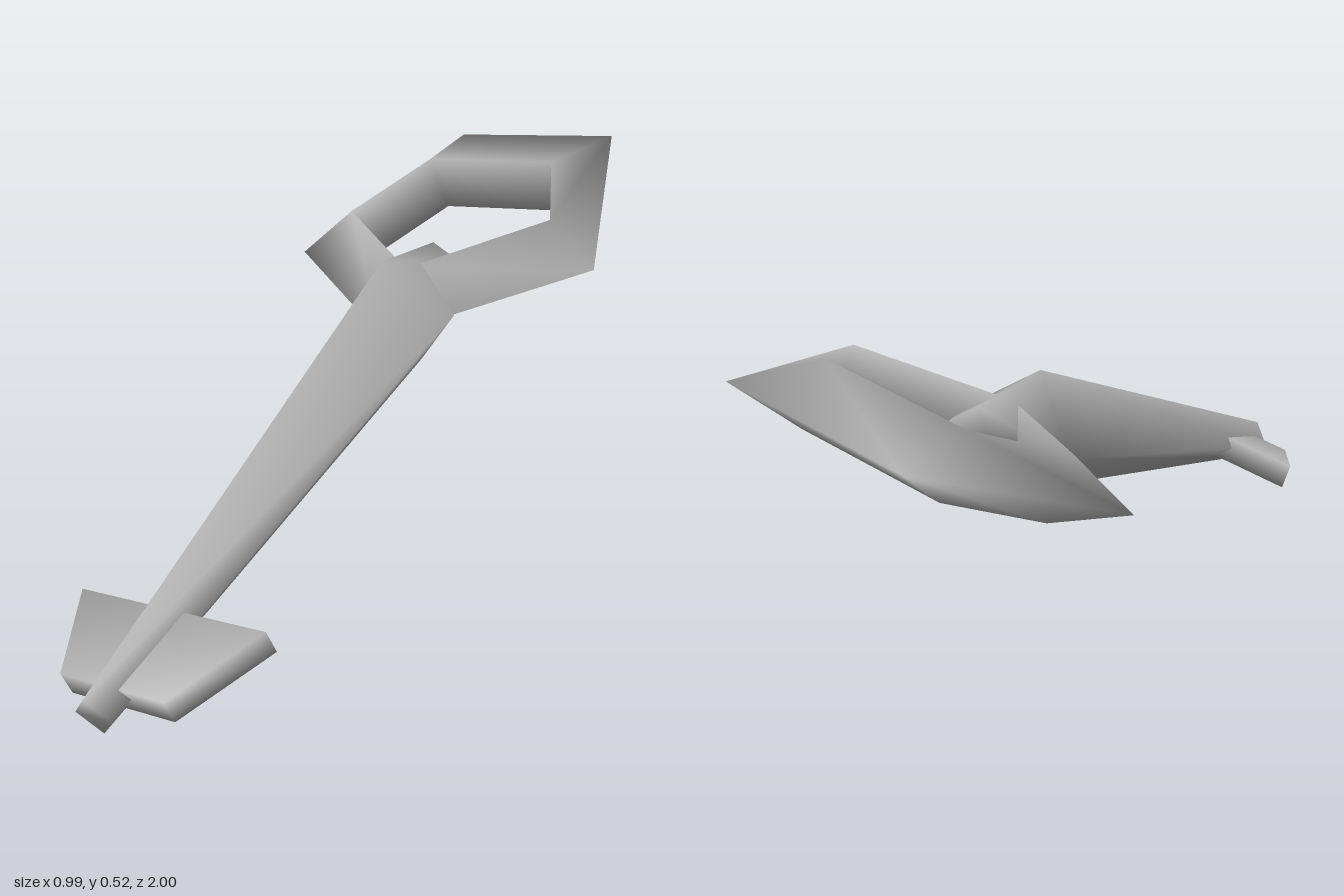
import * as THREE from 'three';

// Smooth skin through a row of equal-sized cross-sections
function loft(loops, ring) {
  const n = loops[0].length, m = loops.length;
  const index = [];
  for (let i = 0; i < (ring ? m : m - 1); i++) {
    const k = (i + 1) % m;
    for (let j = 0; j < n; j++) {
      const l = (j + 1) % n;
      const a = i * n + j, b = i * n + l, c = k * n + l, d = k * n + j;
      index.push(a, b, c, a, c, d);
    }
  }
  if (!ring) {
    // Close both ends
    const e = (m - 1) * n;
    for (let j = 1; j < n - 1; j++) index.push(0, j + 1, j, e, e + j, e + j + 1);
  }
  const geo = new THREE.BufferGeometry();
  geo.setAttribute('position', new THREE.Float32BufferAttribute(loops.flat(2), 3));
  geo.setIndex(index);
  geo.computeVertexNormals();
  return geo;
}

export function createModel() {
  const model = new THREE.Group();
  model.name = 'key';
  const metal = new THREE.MeshStandardMaterial({ color: 0xb4b4b4 });
  metal.name = 'grey metal';
  const add = (name, geo) => {
    const mesh = new THREE.Mesh(geo, metal);
    mesh.name = name;
    model.add(mesh);
  };

  // Shaft: four-sided, thick collar near the handle, thin at the tip
  const diamond = (r, z) => [[r, 0, z], [0, r, z], [-r, 0, z], [0, -r, z]];
  add('shaft', loft([diamond(0.058, -0.2), diamond(0.154, 0), diamond(0.053, 1.302)], false));

  // Handle: five-cornered ring with a triangular section
  // each corner: outer x, outer z, inner x, inner z
  const corners = [
    [0, 0.10, 0, -0.07],
    [0.44, -0.20, 0.302, -0.285],
    [0.232, -0.743, 0.187, -0.52],
    [-0.232, -0.743, -0.187, -0.52],
    [-0.44, -0.20, -0.302, -0.285],
  ];
  add('handleRing', loft(corners.map(([ox, oz, ix, iz]) =>
    [[ox, 0, oz], [ix, -0.078, iz], [ix, 0.078, iz]]), true));

  // Bit: tapered plate across the tip
  const plate = (w, z) => [[0.012 + w, -0.038, z], [0.012 + w, 0.023, z],
    [0.012 - w, 0.023, z], [0.012 - w, -0.038, z]];
  add('bit', loft([plate(0.265, 1.02), plate(0.148, 1.24)], false));

  // Lay the key in its tilted pose
  const along = new THREE.Vector3(0.251, -0.18, 0.951).normalize();
  const side = new THREE.Vector3(0.938, 0.297, -0.19);
  const up = along.clone().cross(side).normalize();
  side.crossVectors(up, along);
  model.quaternion.setFromRotationMatrix(new THREE.Matrix4().makeBasis(side, up, along));
  model.position.set(-0.024, 0.3, -0.2525);

  const root = new THREE.Group();
  root.name = 'keyModel';
  root.add(model);
  return root;
}
